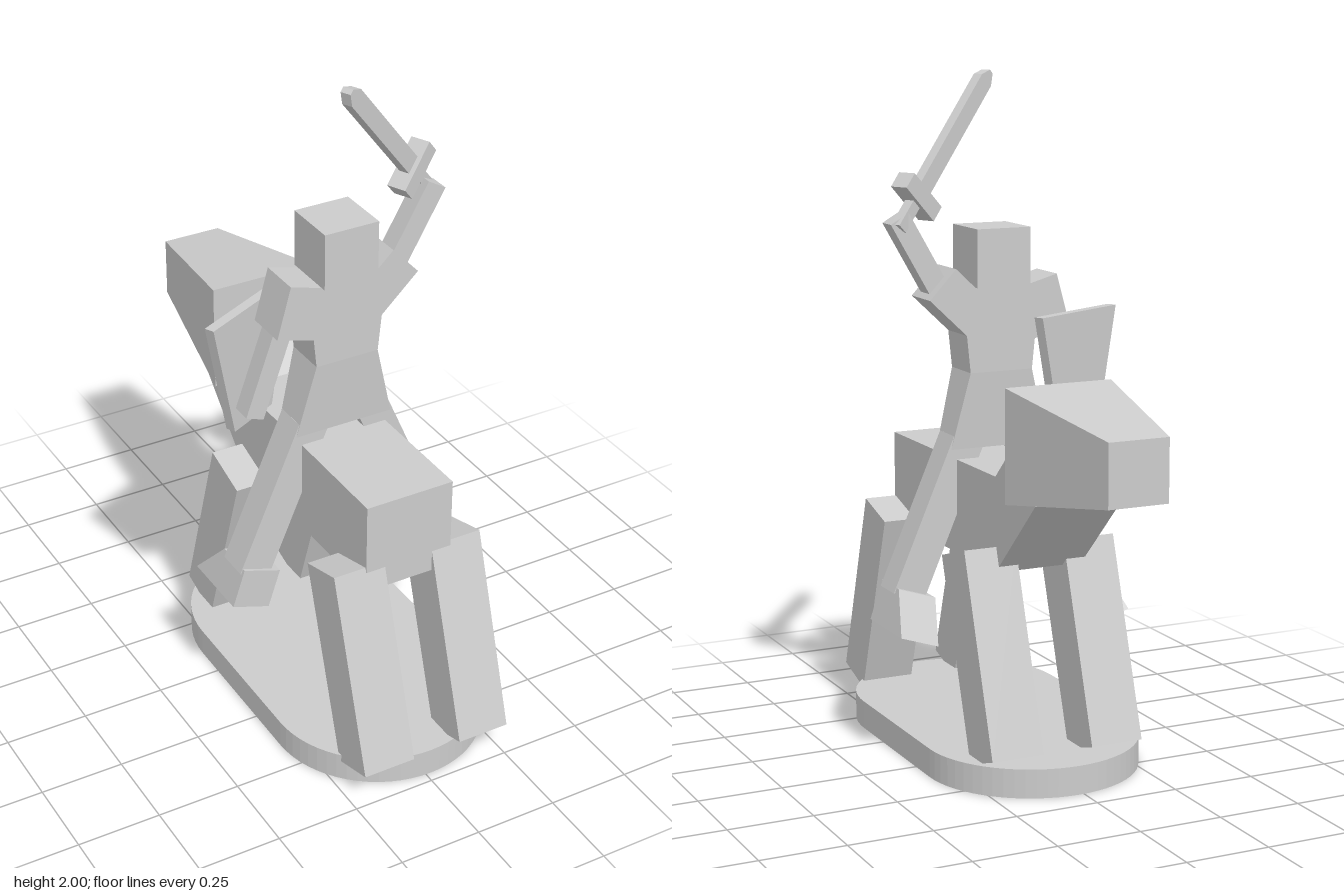
import * as THREE from 'three';

const MAT = new THREE.MeshStandardMaterial({ color: 0xcccccc, flatShading: true });
const CX = 0.015; // middle plane of horse and rider
const RZ = 0.153; // depth of the rider

function add(parent, name, geo) {
  const mesh = new THREE.Mesh(geo, MAT);
  mesh.name = name;
  parent.add(mesh);
  return mesh;
}

function extrude(points, depth) {
  const shape = new THREE.Shape(points.map(([x, y]) => new THREE.Vector2(x, y)));
  return new THREE.ExtrudeGeometry(shape, { depth, bevelEnabled: false }).translate(0, 0, -depth / 2);
}

// Side profile of [z, y] points, extruded across x
const sideProfile = (points, width) => extrude(points, width).rotateY(-Math.PI / 2);

// Box reshaped by a rule that receives each vertex in the range -1..1
function shapedBox(rule, ySegments = 1) {
  const geo = new THREE.BoxGeometry(2, 2, 2, 1, ySegments, 1).toNonIndexed();
  const p = geo.attributes.position;
  for (let i = 0; i < p.count; i++) p.setXYZ(i, ...rule(p.getX(i), p.getY(i), p.getZ(i)));
  geo.computeVertexNormals();
  return geo;
}

// Straight limb between two [x, y] points
function limb(parent, name, a, b, width, depth, z = RZ) {
  const dx = b[0] - a[0], dy = b[1] - a[1];
  const mesh = add(parent, name, new THREE.BoxGeometry(width, Math.hypot(dx, dy), depth));
  mesh.position.set((a[0] + b[0]) / 2, (a[1] + b[1]) / 2, z);
  mesh.rotation.z = Math.atan2(-dx, dy);
  return mesh;
}

function buildBase(parent) {
  const r = 0.32, front = 0.4, back = -0.1;
  const shape = new THREE.Shape();
  shape.absarc(0, -back, r, 0, Math.PI);
  shape.absarc(0, -front, r, Math.PI, Math.PI * 2);
  const geo = new THREE.ExtrudeGeometry(shape, { depth: 0.085, bevelEnabled: false, curveSegments: 16 });
  add(parent, 'base', geo.rotateX(-Math.PI / 2)).position.x = CX;
}

function buildHorse(parent) {
  const horse = new THREE.Group();
  horse.name = 'horse';
  horse.position.x = CX;
  parent.add(horse);

  // Body and neck in one profile
  add(horse, 'horseBody', sideProfile([
    [0.57, 0.6], [0.57, 0.88], [-0.16, 0.88], [-0.31, 1.02], [-0.415, 0.845], [-0.18, 0.62], [-0.16, 0.6],
  ], 0.275));

  // Head tapers to the muzzle
  add(horse, 'horseHead', shapedBox((x, y, z) => z > 0
    ? [x * 0.165, 0.99 + y * 0.165, -0.28]
    : [x * 0.091, 0.99 + y * 0.09, -0.75]));

  const hind = [[0.565, 0.68], [0.415, 0.637], [0.605, 0.06], [0.75, 0.105]];
  const fore = [[-0.01, 0.63], [-0.165, 0.677], [-0.35, 0.107], [-0.2, 0.06]];
  for (const s of [-1, 1]) {
    add(horse, 'hindLeg', sideProfile(hind, 0.161)).position.x = s * 0.157;
    add(horse, 'foreLeg', sideProfile(fore, 0.161)).position.x = s * 0.157;
  }
}

function buildRider(parent) {
  const rider = new THREE.Group();
  rider.name = 'rider';
  parent.add(rider);

  // Torso with a narrow waist: [y, half width, half depth]
  const levels = [[0.91, 0.155, 0.05], [1.135, 0.099, 0.066], [1.385, 0.125, 0.066]];
  add(rider, 'torso', shapedBox((x, y, z) => {
    const [h, w, d] = levels[Math.round(y + 1)];
    return [CX + x * w, h, RZ + z * d];
  }, 2));

  add(rider, 'head', new THREE.BoxGeometry(0.17, 0.17, 0.17)).position.set(CX, 1.47, RZ);

  // Splayed legs and wedge feet
  for (const s of [-1, 1]) {
    limb(rider, 'riderLeg', [CX + s * 0.1, 0.93], [CX + s * 0.295, 0.48], 0.1, 0.1);
    const foot = add(rider, 'foot', sideProfile([[0.213, 0], [0.213, 0.122], [0.087, 0.122], [-0.02, 0]], 0.122));
    foot.position.set(CX + s * 0.3125, 0.38, 0);
    foot.rotation.z = s * 0.32;
  }

  // Raised left arm
  limb(rider, 'leftUpperArm', [0.075, 1.28], [0.2, 1.398], 0.12, 0.132);
  limb(rider, 'leftForearm', [0.2, 1.385], [0.318, 1.59], 0.064, 0.063);

  // Lowered right arm
  limb(rider, 'rightUpperArm', [-0.107, 1.395], [-0.15, 1.24], 0.12, 0.132);
  limb(rider, 'rightForearm', [-0.158, 1.29], [-0.262, 1.0], 0.058, 0.063);
}

function buildShield(parent) {
  const shield = add(parent, 'shield', extrude([[-0.18, 1.3], [-0.09, 0.93], [0.09, 0.93], [0.18, 1.3]], 0.03));
  shield.position.set(-0.217, 0, 0.065);
  shield.rotation.y = 0.457;
}

function buildSword(parent) {
  // Local x runs along the guard, local y along the blade
  const sword = new THREE.Group();
  sword.name = 'sword';
  const along = new THREE.Vector3(-0.284, 0.343, 0.13).normalize();
  const flat = new THREE.Vector3(0.7, 0.7, -0.32);
  flat.addScaledVector(along, -flat.dot(along)).normalize();
  const normal = new THREE.Vector3().crossVectors(flat, along);
  sword.quaternion.setFromRotationMatrix(new THREE.Matrix4().makeBasis(flat, along, normal));
  sword.position.set(0.25, 1.647, 0.158);

  add(sword, 'blade', extrude([
    [-0.027, 0], [0.027, 0], [0.027, 0.435], [0.008, 0.467], [-0.008, 0.467], [-0.027, 0.435],
  ], 0.032));
  add(sword, 'guard', new THREE.BoxGeometry(0.155, 0.052, 0.06));
  add(sword, 'grip', new THREE.BoxGeometry(0.035, 0.11, 0.032)).position.y = -0.06;
  parent.add(sword);
}

export function createModel() {
  const model = new THREE.Group();
  model.name = 'mountedKnight';
  buildBase(model);
  buildHorse(model);
  buildRider(model);
  buildShield(model);
  buildSword(model);
  return model;
}
